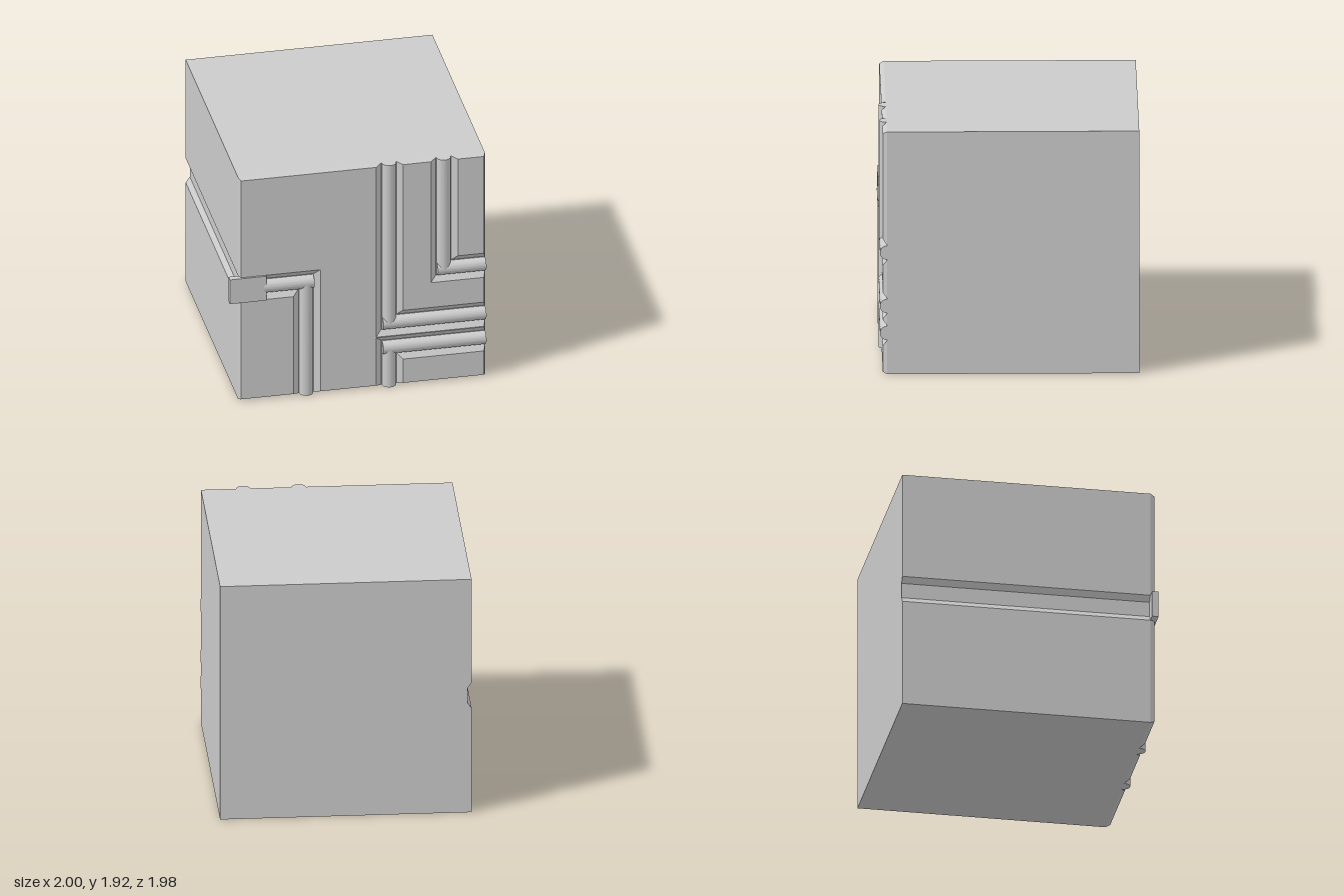
import * as THREE from 'three';
import { toCreasedNormals } from 'three/addons/utils/BufferGeometryUtils.js';

const L = -0.925, R = 1, H = 1.925;            // block limits in x and y
const BACK = -0.99, FLOOR = 0.935, FACE = 0.968; // depth levels
const PIPE = 0.055, EDGE = 0.015, SLOPE = 0.045; // pipe radius, outer bevel, channel bevel

const material = new THREE.MeshStandardMaterial({ color: 0xcccccc });

function add(group, name, geometry) {
  const mesh = new THREE.Mesh(geometry, material);
  mesh.name = name;
  group.add(mesh);
  return mesh;
}

// Raised plate with right-angled counter-clockwise outline and bevelled sides.
function plateGeometry(outline) {
  const n = outline.length;
  // inward offset of the edge that starts at corner i
  const inset = (i) => {
    const [ax, ay] = outline[i], [bx, by] = outline[(i + 1) % n];
    const outer = (ax === bx && (ax === L || ax === R)) || (ay === by && (ay === 0 || ay === H));
    const d = outer ? EDGE : SLOPE;
    return [-Math.sign(by - ay) * d, Math.sign(bx - ax) * d];
  };
  const top = outline.map(([x, y], i) => {
    const p = inset((i + n - 1) % n), q = inset(i);
    return new THREE.Vector2(x + p[0] + q[0], y + p[1] + q[1]);
  });
  const pos = [];
  const low = (i) => [...outline[i % n], FLOOR];
  const high = (i) => [top[i % n].x, top[i % n].y, FACE];
  for (let i = 0; i < n; i++) {
    pos.push(...low(i), ...low(i + 1), ...high(i + 1));
    pos.push(...low(i), ...high(i + 1), ...high(i));
  }
  for (const f of THREE.ShapeUtils.triangulateShape(top, [])) {
    for (const i of f) pos.push(...high(i));
  }
  const g = new THREE.BufferGeometry();
  g.setAttribute('position', new THREE.Float32BufferAttribute(pos, 3));
  g.computeVertexNormals();
  return g;
}

// Half-round pipe lying on the channel floor, running along x or y.
function pipeGeometry(axis, from, to, across) {
  const shape = new THREE.Shape();
  shape.absarc(0, 0, PIPE, 0, Math.PI, false);
  shape.closePath();
  const g = new THREE.ExtrudeGeometry(shape, { depth: to - from, bevelEnabled: false, curveSegments: 20 });
  const X = new THREE.Vector3(1, 0, 0), Y = new THREE.Vector3(0, 1, 0), Z = new THREE.Vector3(0, 0, 1);
  const m = new THREE.Matrix4();
  if (axis === 'x') m.makeBasis(Y, Z, X).setPosition(from, across, FLOOR);
  else m.makeBasis(X.negate(), Z, Y).setPosition(across, from, FLOOR);
  g.applyMatrix4(m);
  return toCreasedNormals(g, 0.6);
}

export function createModel() {
  const model = new THREE.Group();
  model.name = 'pipedBlock';

  // Block with a shallow bevelled groove along its -x side
  const profile = new THREE.Shape([
    [L, 0], [R, 0], [R, H], [L, H],
    [L, 1.07], [L + 0.032, 1.025], [L + 0.032, 0.905], [L, 0.86],
  ].map(([x, y]) => new THREE.Vector2(x, y)));
  const block = new THREE.ExtrudeGeometry(profile, { depth: FLOOR - BACK, bevelEnabled: false });
  block.translate(0, 0, BACK);
  add(model, 'block', block);

  // Raised plates on the front, leaving channels between them
  const plates = {
    mainPlate: [
      [L, 1.025], [-0.335, 1.025], [-0.335, 0], [0.19, 0], [0.19, 0.385], [R, 0.385],
      [R, 0.48], [0.19, 0.48], [0.19, H], [L, H],
    ],
    lowerSidePlate: [[L, 0], [-0.455, 0], [-0.455, 0.905], [L, 0.905]],
    elbowPlate: [[0.31, 0.6], [R, 0.6], [R, 0.905], [0.617, 0.905], [0.617, H], [0.31, H]],
    upperCornerPlate: [[0.737, 1.025], [R, 1.025], [R, H], [0.737, H]],
    lowerCornerPlate: [[0.31, 0], [R, 0], [R, 0.266], [0.31, 0.266]],
  };
  for (const [name, outline] of Object.entries(plates)) add(model, name, plateGeometry(outline));

  // Elbow pipes: bend centre, far end in x, far end in y
  const pipes = [
    ['sidePipe', -0.395, 0.965, -0.73, 0],
    ['longPipe', 0.252, 0.54, R, H],
    ['lowerPipe', 0.252, 0.326, R, 0],
    ['upperPipe', 0.677, 0.965, R, H],
  ];
  for (const [name, x, y, endX, endY] of pipes) {
    const pipe = new THREE.Group();
    pipe.name = name;
    const startX = x - Math.sign(endX - x) * PIPE;
    add(pipe, 'horizontalRun', pipeGeometry('x', Math.min(startX, endX), Math.max(startX, endX), y));
    add(pipe, 'verticalRun', pipeGeometry('y', Math.min(y, endY), Math.max(y, endY), x));
    model.add(pipe);
  }

  // Flat connector tab overhanging the side
  const tab = add(model, 'connectorTab', new THREE.BoxGeometry(0.285, 0.21, 0.05));
  tab.position.set(-0.8575, 0.965, 0.959);

  return model;
}
